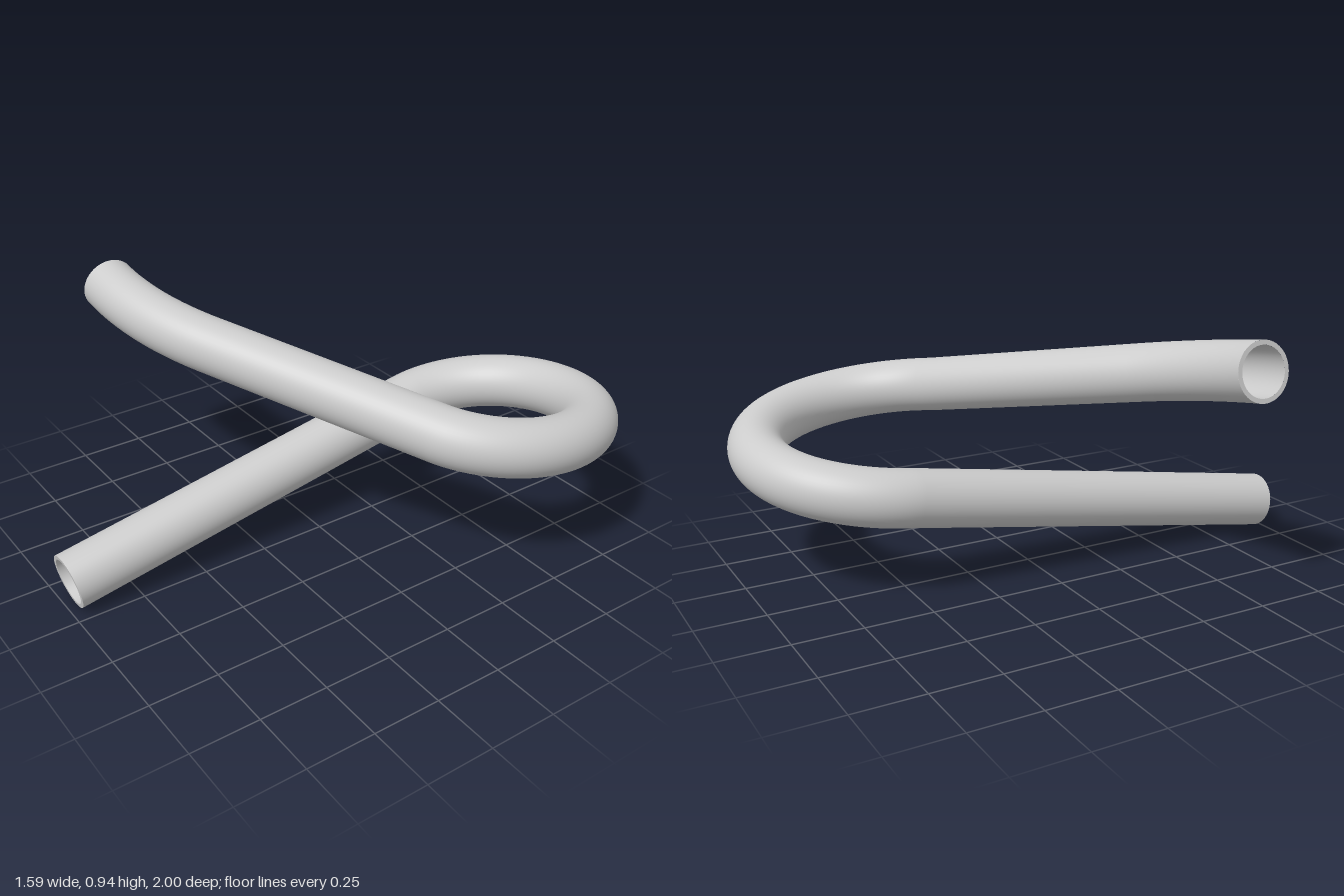
import * as THREE from 'three';

const OUTER = 0.102, INNER = 0.086, STEPS = 200, SIDES = 48;

// Each run: plan length, total turn (radians, clockwise from above), rise
const RUNS = [
  { length: 1.482, turn: 0, rise: 0.261 },
  { length: 0.398 * Math.PI * 4 / 3, turn: Math.PI * 4 / 3, rise: 0.224 },
  { length: 0.89, turn: 0, rise: 0.157 },
  { length: Math.PI / 6, turn: Math.PI / 6, rise: 0.093 },
];

// Centre line: straight and circular runs, all climbing steadily
class BentPath extends THREE.Curve {
  getPoint(t, target = new THREE.Vector3()) {
    let left = t * RUNS.reduce((sum, r) => sum + r.length, 0);
    let heading = 0; // 0 faces -z, a quarter turn faces +x
    target.set(-0.101, 0.101, 0.982);
    for (const { length, turn, rise } of RUNS) {
      const d = Math.min(left, length);
      const a = turn * d / length;
      // the chord of an arc points along its mean heading
      const chord = turn ? 2 * (length / turn) * Math.sin(a / 2) : d;
      target.x += chord * Math.sin(heading + a / 2);
      target.z -= chord * Math.cos(heading + a / 2);
      target.y += rise * d / length;
      heading += a;
      left -= d;
      if (left <= 0) break;
    }
    return target;
  }
}

// Turn a surface inside out
function flip(geometry) {
  geometry.index.array.reverse();
  const n = geometry.attributes.normal;
  for (let i = 0; i < n.count; i++) n.setXYZ(i, -n.getX(i), -n.getY(i), -n.getZ(i));
  return geometry;
}

export function createModel() {
  const group = new THREE.Group();
  group.name = 'bentPipe';
  const material = new THREE.MeshStandardMaterial({ color: 0xcccccc });
  const path = new BentPath();
  path.arcLengthDivisions = 800;

  const add = (name, geometry) => {
    const mesh = new THREE.Mesh(geometry, material);
    mesh.name = name;
    group.add(mesh);
    return mesh;
  };

  // Pipe walls
  add('outerWall', new THREE.TubeGeometry(path, STEPS, OUTER, SIDES));
  add('innerWall', flip(new THREE.TubeGeometry(path, STEPS, INNER, SIDES)));

  // Rims closing the wall thickness at both open ends
  for (const [name, t, sign] of [['lowerRim', 0, -1], ['upperRim', 1, 1]]) {
    const rim = add(name, new THREE.RingGeometry(INNER, OUTER, SIDES));
    rim.position.copy(path.getPointAt(t));
    const out = path.getTangentAt(t).multiplyScalar(sign);
    rim.quaternion.setFromUnitVectors(new THREE.Vector3(0, 0, 1), out);
  }
  return group;
}
